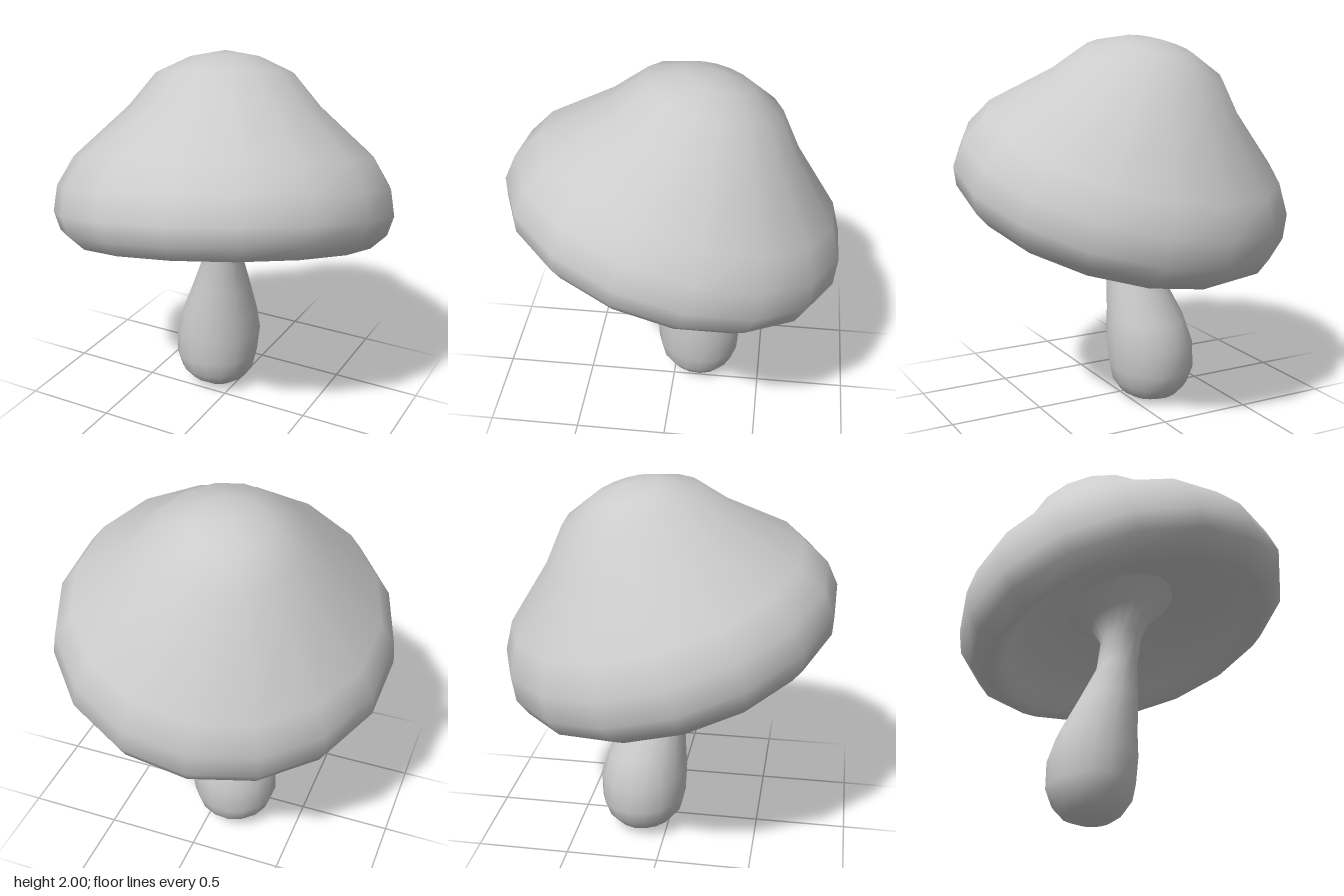
import * as THREE from 'three';
import { mergeVertices } from 'three/addons/utils/BufferGeometryUtils.js';

const SIDES = 16, PHASE = -9.2 * Math.PI / 180;
const UP = new THREE.Vector3(0, 1, 0);
const AXIS = new THREE.Vector3(-0.135, 0.955, -0.265).normalize(); // tilted cap axis
const CENTRE = new THREE.Vector3(0, 1.16, 0); // middle of the widest cap ring

// Smooth skin over rings of { centre, radius, normal }, listed from bottom to top
function loft(name, rings) {
  const pos = [], index = [];
  rings.forEach(({ centre, radius, normal }, i) => {
    const q = new THREE.Quaternion().setFromUnitVectors(UP, normal);
    for (let j = 0; j < SIDES; j++) {
      const t = PHASE + j / SIDES * Math.PI * 2;
      const p = new THREE.Vector3(radius * Math.cos(t), 0, radius * Math.sin(t));
      pos.push(...p.applyQuaternion(q).add(centre).toArray());
      if (i === rings.length - 1) continue;
      const a = i * SIDES + j, c = i * SIDES + (j + 1) % SIDES;
      const b = a + SIDES, d = c + SIDES;
      index.push(a, b, c, c, b, d);
    }
  });
  let geo = new THREE.BufferGeometry();
  geo.setAttribute('position', new THREE.Float32BufferAttribute(pos, 3));
  geo.setIndex(index);
  geo = mergeVertices(geo, 1e-4);
  geo.computeVertexNormals();
  const mesh = new THREE.Mesh(geo, new THREE.MeshStandardMaterial({ color: 0xcccccc, side: THREE.DoubleSide }));
  mesh.name = name;
  return mesh;
}

// Ring on the cap axis at height h from the widest ring
const capRing = ([radius, h]) => ({
  centre: CENTRE.clone().addScaledVector(AXIS, h), radius, normal: AXIS,
});

// Stem ring; tilt blends from upright (0) to the cap axis (1)
const stemRing = ([radius, x, y, z, tilt]) => ({
  centre: new THREE.Vector3(x, y, z), radius,
  normal: UP.clone().lerp(AXIS, tilt).normalize(),
});

export function createModel() {
  const group = new THREE.Group();
  group.name = 'mushroom';

  // Bulbous stem, leaning and flaring into the underside of the cap
  const stem = [
    [0, -0.1, 0, -0.12, 0.3],
    [0.09, -0.1, 0.015, -0.12, 0.3],
    [0.16, -0.11, 0.05, -0.13, 0.3],
    [0.21, -0.115, 0.11, -0.13, 0.3],
    [0.236, -0.12, 0.2, -0.135, 0.3],
    [0.242, -0.11, 0.35, -0.135, 0.3],
    [0.217, -0.095, 0.48, -0.12, 0.3],
    [0.165, -0.06, 0.67, -0.075, 0.3],
    [0.112, -0.03, 0.86, -0.035, 0.4],
    [0.115, -0.015, 1.03, -0.015, 0.7],
    [0.18, -0.01, 1.15, -0.015, 1],
  ].map(stemRing);
  group.add(loft('stem', [...stem, capRing([0.3, 0.08])]));

  // Cap: hollow underside, rounded lip, bell-shaped crown
  group.add(loft('cap', [
    [0.3, 0.08], [0.55, 0.0], [0.69, -0.1], [0.74, -0.16], [0.8, -0.172],
    [0.885, -0.1], [0.92, 0], [0.9, 0.14], [0.81, 0.295],
    [0.515, 0.565], [0.37, 0.74], [0.19, 0.825], [0, 0.86],
  ].map(capRing)));

  return group;
}
